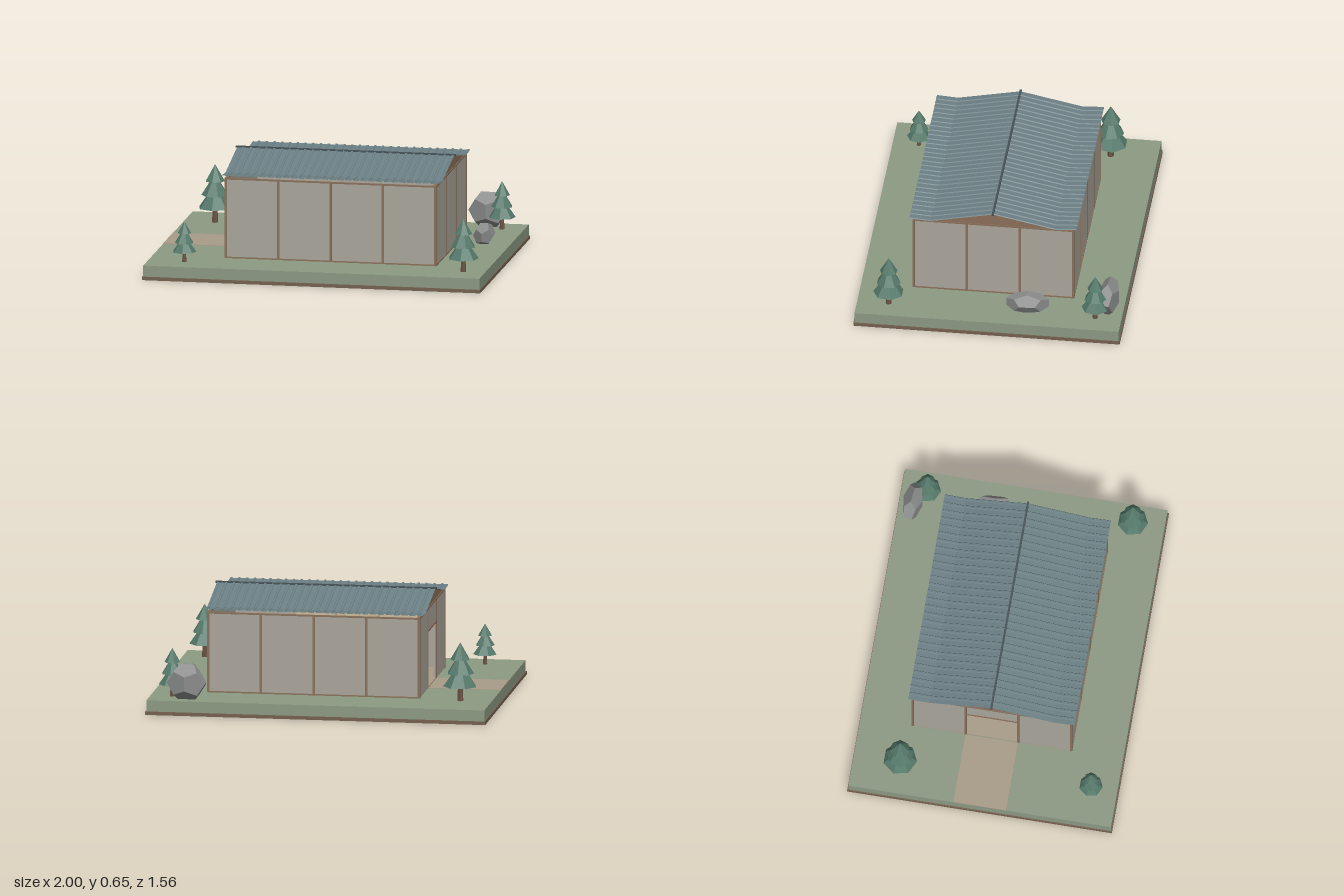
import * as THREE from 'three';

const mat = (color, extra = {}) => new THREE.MeshStandardMaterial({ color, flatShading: true, ...extra });
const M = {
  grass: mat(0x8c9a83), earth: mat(0x75614f), wall: mat(0xaaa69c), timber: mat(0x8a705a),
  roof: mat(0x6c8085, { side: THREE.DoubleSide }), ridge: mat(0x455257), path: mat(0xa99c88),
  leaf: mat(0x55796a), bark: mat(0x6a5444), rock: mat(0x8a8b8b), shelf: mat(0xb8a88c),
};
const GROUND = 0.085, TOP = 0.555;
const X0 = -0.565, X1 = 0.68, ZW = 0.47, DOOR = 0.155, LINTEL = 0.43;

export function createModel() {
  const root = new THREE.Group();
  const add = (name, geo, material, parent = root) => {
    const mesh = new THREE.Mesh(geo, material);
    mesh.name = name;
    parent.add(mesh);
    return mesh;
  };
  // box given by its minimum and maximum corners
  const box = (name, m, x0, x1, y0, y1, z0, z1, parent = root) =>
    add(name, new THREE.BoxGeometry(x1 - x0, y1 - y0, z1 - z0), m, parent)
      .position.set((x0 + x1) / 2, (y0 + y1) / 2, (z0 + z1) / 2);

  // base and path
  box('baseSlab', M.earth, -1, 1, 0, 0.02, -0.78, 0.78);
  box('lawn', M.grass, -0.994, 0.994, 0.02, GROUND, -0.774, 0.774);
  box('entrancePath', M.path, -0.994, X0 - 0.005, GROUND - 0.01, GROUND + 0.003, -DOOR, DOOR);

  // walls, open in the middle of the -x end
  const hall = new THREE.Group();
  hall.name = 'hall';
  root.add(hall);
  const T = 0.016;
  box('floor', M.path, X0, X1, GROUND - 0.01, GROUND + 0.006, -ZW, ZW, hall);
  for (const s of [-1, 1]) {
    const [a, b] = s > 0 ? [ZW - T, ZW] : [-ZW, -ZW + T];
    box('longWall', M.wall, X0, X1, GROUND, TOP, a, b, hall);
    const [c, d] = s > 0 ? [DOOR, ZW - T] : [-ZW + T, -DOOR];
    box('entranceWall', M.wall, X0, X0 + T, GROUND, TOP, c, d, hall);
  }
  box('endWall', M.wall, X1 - T, X1, GROUND, TOP, -ZW + T, ZW - T, hall);
  box('doorLintelWall', M.wall, X0, X0 + T, LINTEL, TOP, -DOOR, DOOR, hall);
  box('doorHead', M.timber, X0 - 0.004, X0 + 0.02, LINTEL - 0.012, LINTEL, -DOOR, DOOR, hall);

  // posts, sills and top plates
  const P = 0.007, E = 0.004;
  for (let i = 0; i < 5; i++) {
    const x = THREE.MathUtils.lerp(X0 + P - E, X1 - P + E, i / 4);
    for (const s of [-1, 1])
      box('post', M.timber, x - P, x + P, GROUND, TOP, s * ZW - E, s * ZW + E, hall);
  }
  for (const x of [X0, X1])
    for (const z of [-ZW + P - E, -DOOR, DOOR, ZW - P + E])
      box('endPost', M.timber, x - E, x + E, GROUND, TOP, z - P, z + P, hall);
  for (const s of [-1, 1])
    for (const [y, h, n] of [[GROUND, 0.008, 'sill'], [TOP - 0.004, 0.01, 'topPlate']])
      box(n, M.timber, X0 - E, X1 + E, y, y + h, s * ZW - E, s * ZW + E, hall);
  for (const x of [X0, X1])
    box('endTopPlate', M.timber, x - E, x + E, TOP - 0.004, TOP + 0.006, -ZW, ZW, hall);
  box('endSill', M.timber, X1 - E, X1 + E, GROUND, GROUND + 0.008, -ZW, ZW, hall);

  // shelving inside
  for (let i = 0; i < 4; i++) {
    const y = 0.13 + i * 0.09, x = -0.45 + i * 0.25;
    box('shelfBoard', M.shelf, -0.46, 0.31, y, y + 0.01, 0.3, 0.43, hall);
    box('shelfUpright', M.shelf, x - 0.006, x + 0.006, GROUND, 0.42, 0.3, 0.312, hall);
  }

  // gables
  const tri = new THREE.Shape([[-ZW, TOP], [ZW, TOP], [ZW, 0.562], [0.365, 0.567], [0, 0.643], [-0.365, 0.567], [-ZW, 0.562]]
    .map(([z, y]) => new THREE.Vector2(z, y)));
  for (const x of [X0, X1 - T]) {
    const g = new THREE.ExtrudeGeometry(tri, { depth: T, bevelEnabled: false });
    g.rotateY(Math.PI / 2);
    add('gable', g, M.timber, hall).position.x = x;
  }

  // ribbed roof: slopes with slightly upturned eaves
  const section = [[-0.49, 0.577], [-0.365, 0.569], [0, 0.645], [0.365, 0.569], [0.49, 0.577]];
  const R0 = -0.585, R1 = 0.7, ribs = 28, step = (R1 - R0) / ribs;
  const pos = [], idx = [];
  const ribForm = [[0, 0], [0.62, 0], [0.7, 0.005], [0.92, 0.005]];
  const cols = [];
  for (let i = 0; i < ribs; i++) for (const [u, h] of ribForm) cols.push([R0 + (i + u) * step, h]);
  cols.push([R1, 0]);
  cols.forEach(([x, h], i) => {
    section.forEach(([z, y], j) => {
      pos.push(x, y + h, z);
      if (i && j) {
        const b = i * 5 + j, a = b - 5;
        idx.push(a - 1, a, b, a - 1, b, b - 1);
      }
    });
  });
  const roof = new THREE.BufferGeometry();
  roof.setAttribute('position', new THREE.Float32BufferAttribute(pos, 3));
  roof.setIndex(idx);
  roof.computeVertexNormals();
  add('ribbedRoof', roof, M.roof);
  box('ridgeCap', M.ridge, -0.592, 0.708, 0.642, 0.653, -0.006, 0.006);

  // conifers: x, z, lowest branch radius, total height
  for (const [x, z, r, h] of [[-0.81, -0.5, 0.1, 0.345], [-0.78, 0.62, 0.07, 0.24],
    [0.865, 0.59, 0.09, 0.315], [0.865, -0.62, 0.08, 0.285]]) {
    const tree = new THREE.Group();
    tree.name = 'conifer';
    tree.position.set(x, GROUND, z);
    root.add(tree);
    const trunk = new THREE.CylinderGeometry(r * 0.13, r * 0.19, h * 0.35, 6);
    add('trunk', trunk, M.bark, tree).position.y = h * 0.175;
    [[0.25, 0.66, 1], [0.47, 0.84, 0.8], [0.71, 1, 0.58]].forEach(([a, b, k], i) => {
      const tier = add('branches', new THREE.ConeGeometry(r * k, h * (b - a), 7), M.leaf, tree);
      tier.position.y = h * (a + b) / 2;
      tier.rotation.y = i * 0.4;
    });
  }

  // boulders: centre, half sizes, turn
  for (const [x, y, z, a, b, c, turn] of [[0.77, 0.18, -0.69, 0.115, 0.11, 0.058, -0.1],
    [0.835, 0.14, -0.22, 0.06, 0.064, 0.125, 0.06]]) {
    const rock = add('boulder', new THREE.DodecahedronGeometry(1.06), M.rock);
    rock.scale.set(a, b, c);
    rock.position.set(x, y, z);
    rock.rotation.y = turn;
  }
  return root;
}
